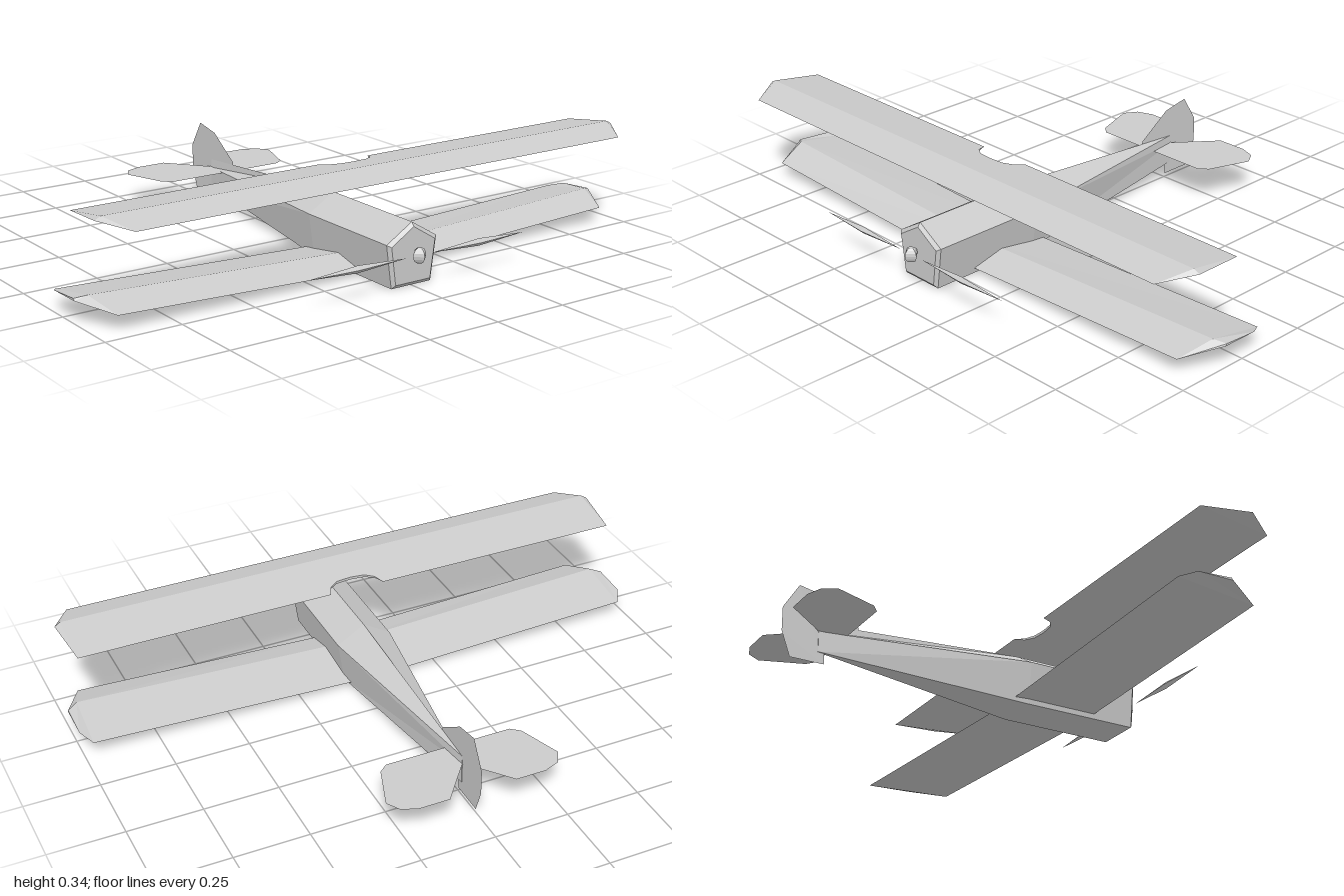
import * as THREE from 'three';

const grey = new THREE.MeshStandardMaterial({ color: 0xcccccc, flatShading: true });
const thin = new THREE.MeshStandardMaterial({ color: 0xcccccc, flatShading: true, side: THREE.DoubleSide });

// Closed solid through rings of points; each ring runs clockwise seen from the advancing end.
function loft(rings) {
  const pos = [];
  const tri = (...pts) => {
    const [a, b, c] = pts.map((p) => new THREE.Vector3(...p));
    if (b.sub(a).cross(c.sub(a)).length() > 1e-9) pts.forEach((p) => pos.push(...p));
  };
  const n = rings[0].length;
  for (let i = 0; i < rings.length - 1; i++) {
    const r = rings[i], s = rings[i + 1];
    for (let j = 0; j < n; j++) {
      const k = (j + 1) % n;
      tri(r[j], s[j], s[k]);
      tri(r[j], s[k], r[k]);
    }
  }
  const first = rings[0], last = rings[rings.length - 1];
  for (let j = 1; j < n - 1; j++) {
    tri(first[0], first[j], first[j + 1]);
    tri(last[0], last[j + 1], last[j]);
  }
  const geo = new THREE.BufferGeometry();
  geo.setAttribute('position', new THREE.Float32BufferAttribute(pos, 3));
  geo.computeVertexNormals();
  return geo;
}

// Whole wing from the stations of one half, listed from the centre to the tip.
function wing(half) {
  const other = half.slice(1).reverse().map((ring) => ring.map(([x, y, z]) => [-x, y, z]));
  return loft([...other, ...half]);
}

function plate(points) {
  return new THREE.ShapeGeometry(new THREE.Shape(points.map(([u, v]) => new THREE.Vector2(u, v))));
}

export function createModel() {
  const model = new THREE.Group();
  const add = (name, geo, material = grey) => {
    const mesh = new THREE.Mesh(geo, material);
    mesh.name = name;
    model.add(mesh);
    return mesh;
  };

  // Five-sided fuselage tapering to a vertical edge at the tail
  const section = (z, top, shoulder, bottom, w, wb) => [
    [0, top, z], [w, shoulder, z], [wb, bottom, z], [-wb, bottom, z], [-w, shoulder, z],
  ];
  add('fuselage', loft([
    section(-0.525, 0.148, 0.12, 0.05, 0.002, 0.002),
    section(0.2, 0.2, 0.142, 0, 0.095, 0.075),
    section(0.6, 0.2, 0.142, 0, 0.095, 0.075),
    section(0.61, 0.187, 0.135, 0.012, 0.083, 0.066),
  ]));

  // Upper wing with a rounded notch in the trailing edge
  const upper = (x, back) => {
    const cut = 0.315 + (0.028 * (back - 0.25)) / 0.18;
    return [[x, 0.315, 0.538], [x, 0.343, 0.432], [x, cut, back], [x, 0.315, back]];
  };
  const upperTip = [0.985, 0.332, 0.43];
  add('upperWing', wing([
    upper(0, 0.31), upper(0.05, 0.305), upper(0.08, 0.285), upper(0.095, 0.25),
    [[0.915, 0.315, 0.538], [0.965, 0.343, 0.432], [0.965, 0.315, 0.25], [0.965, 0.315, 0.25]],
    [upperTip, upperTip, upperTip, upperTip],
  ]));

  // Lower wing, rising towards the tips
  add('lowerWing', wing([
    [[0, 0.014, 0.452], [0, 0.045, 0.34], [0, 0.014, 0.15]],
    [[0.93, 0.05, 0.452], [0.965, 0.086, 0.34], [0.97, 0.052, 0.15]],
    [[1, 0.07, 0.325], [1, 0.077, 0.32], [1, 0.068, 0.2]],
  ]));

  // Flat tailplane, one outline mirrored about the centre
  const side = [[0.215, 0.43], [0.245, 0.455], [0.295, 0.6], [0.268, 0.645], [0.215, 0.665], [0.113, 0.665], [0.004, 0.53]];
  const tail = plate([...side, ...side.map(([x, v]) => [-x, v]).reverse()]);
  tail.rotateX(-Math.PI / 2).translate(0, 0.122, 0);
  add('tailplane', tail, thin);

  // Upright fin and rudder
  const fin = plate([
    [-0.386, 0.167], [-0.503, 0.248], [-0.595, 0.266], [-0.65, 0.177],
    [-0.65, 0.095], [-0.62, 0.012], [-0.503, 0.012], [-0.503, 0.05], [-0.386, 0.042],
  ]);
  fin.rotateY(-Math.PI / 2);
  add('rudder', fin, thin);

  // Propeller hub and two slim blades
  add('propellerHub', new THREE.SphereGeometry(0.025, 4, 8)).position.set(0, 0.104, 0.64);
  for (const s of [-1, 1]) {
    const blade = add('propellerBlade', new THREE.OctahedronGeometry(1));
    blade.scale.set(0.182, 0.012, 0.011);
    blade.position.set(s * 0.232, 0.104, 0.64);
  }
  return model;
}
